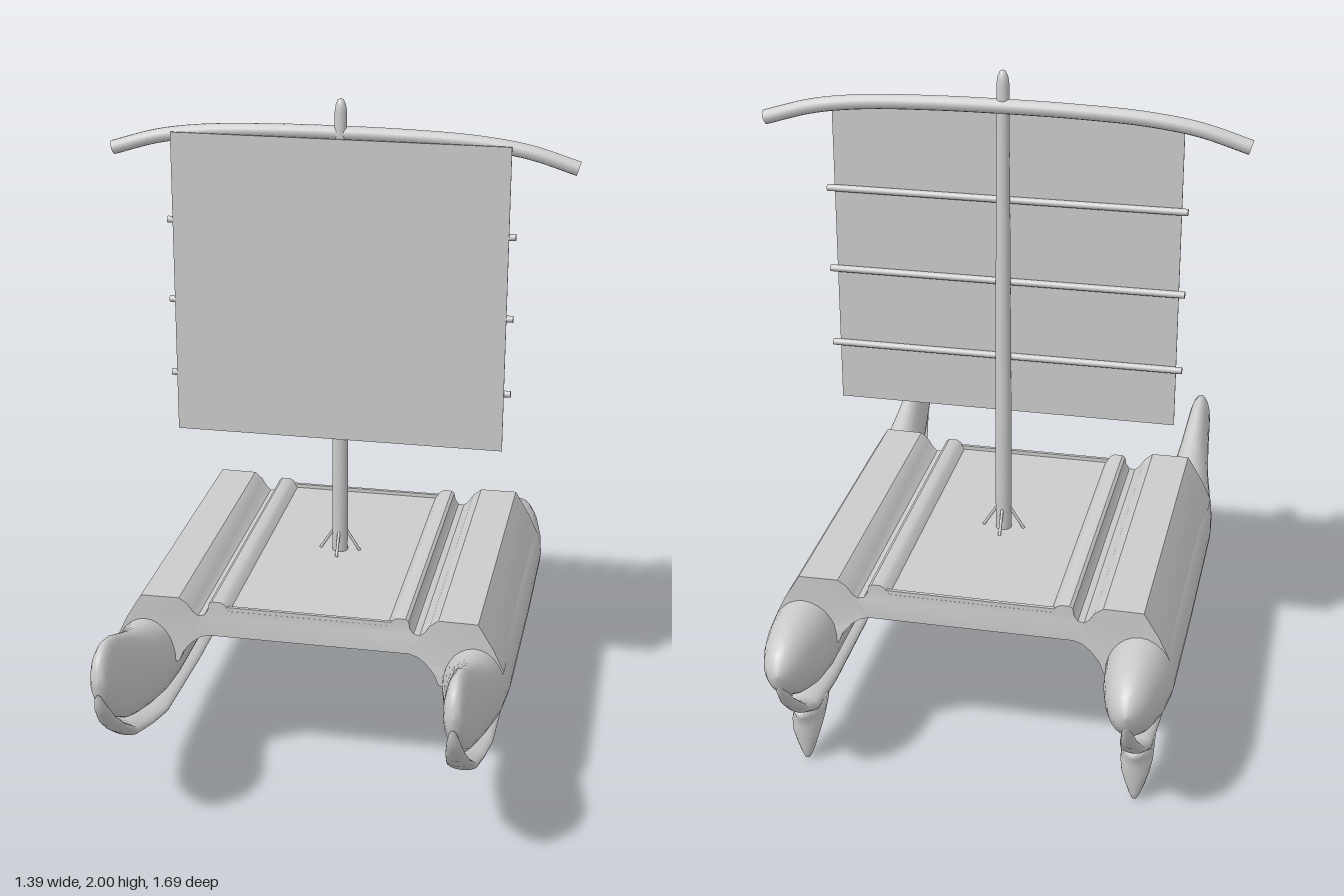
import * as THREE from 'three';
import { toCreasedNormals } from 'three/addons/utils/BufferGeometryUtils.js';

const material = new THREE.MeshStandardMaterial({ color: 0xcccccc });
const HULL_X = 0.492;
const MAST_Z = -0.115;

function add(parent, name, geometry, x = 0, y = 0, z = 0) {
  const mesh = new THREE.Mesh(geometry, material);
  mesh.name = name;
  mesh.position.set(x, y, z);
  parent.add(mesh);
  return mesh;
}

// Skin over elliptical rings; place(section, cos, sin) returns a point.
function loft(sections, place, sides = 28) {
  const positions = [], index = [];
  sections.forEach((s, i) => {
    for (let j = 0; j < sides; j++) {
      const t = (j / sides) * Math.PI * 2;
      positions.push(...place(s, Math.cos(t), Math.sin(t)));
      if (i === sections.length - 1) continue;
      const a = i * sides + j, b = i * sides + (j + 1) % sides;
      index.push(a, a + sides, b, b, a + sides, b + sides);
    }
  });
  const g = new THREE.BufferGeometry();
  g.setAttribute('position', new THREE.Float32BufferAttribute(positions, 3));
  g.setIndex(index);
  g.computeVertexNormals();
  return g;
}

// Sections along z: [z, bottom, top, half width]
const alongZ = ([z, lo, hi, w], c, s) => [w * c, (lo + hi) / 2 + s * (hi - lo) / 2, z];
// Sections down y: [y, back z, front z, half width]
const downY = ([y, back, front, w], c, s) => [w * c, y, (back + front) / 2 - s * (front - back) / 2];

// Round rod between two points
function rod(parent, name, from, to, r) {
  const a = new THREE.Vector3(...from), b = new THREE.Vector3(...to);
  const d = b.clone().sub(a);
  const m = add(parent, name, new THREE.CylinderGeometry(r, r, d.length(), 10));
  m.position.copy(a).addScaledVector(d, 0.5);
  m.quaternion.setFromUnitVectors(new THREE.Vector3(0, 1, 0), d.normalize());
}

function createHull(side) {
  const hull = new THREE.Group();
  hull.name = side > 0 ? 'leftHull' : 'rightHull';
  hull.position.x = side * HULL_X;
  // Float with upturned bow and rounded stern
  add(hull, 'float', loft([
    [0.842, 0.555, 0.555, 0], [0.838, 0.515, 0.59, 0.018], [0.825, 0.485, 0.622, 0.026],
    [0.8, 0.455, 0.643, 0.033], [0.76, 0.42, 0.65, 0.037], [0.7, 0.375, 0.636, 0.042],
    [0.62, 0.328, 0.602, 0.051], [0.55, 0.302, 0.573, 0.061], [0.47, 0.282, 0.546, 0.077],
    [0.39, 0.271, 0.532, 0.092], [0.3, 0.27, 0.53, 0.1], [-0.2, 0.27, 0.53, 0.102],
    [-0.58, 0.27, 0.53, 0.1], [-0.66, 0.278, 0.529, 0.091], [-0.73, 0.303, 0.523, 0.076],
    [-0.78, 0.332, 0.508, 0.06], [-0.815, 0.365, 0.484, 0.041], [-0.835, 0.4, 0.458, 0.021],
    [-0.842, 0.43, 0.43, 0]], alongZ));
  // Runner following the underside
  add(hull, 'runner', loft([
    [0.844, 0.525, 0.525, 0], [0.838, 0.48, 0.52, 0.012], [0.82, 0.445, 0.49, 0.02],
    [0.77, 0.385, 0.428, 0.028], [0.7, 0.327, 0.365, 0.035], [0.62, 0.27, 0.308, 0.044],
    [0.5, 0.235, 0.272, 0.053], [0.37, 0.203, 0.243, 0.059], [0, 0.185, 0.224, 0.059],
    [-0.46, 0.163, 0.222, 0.053], [-0.62, 0.17, 0.222, 0.046], [-0.68, 0.205, 0.242, 0.035],
    [-0.76, 0.278, 0.315, 0.024], [-0.815, 0.345, 0.385, 0.014], [-0.835, 0.41, 0.41, 0]], alongZ, 20));
  // Skeg under the stern
  add(hull, 'skeg', loft([
    [0.21, -0.55, -0.55, 0], [0.2, -0.675, -0.44, 0.05], [0.16, -0.65, -0.47, 0.047],
    [0.13, -0.646, -0.53, 0.047], [0.1, -0.642, -0.578, 0.041], [0.06, -0.636, -0.588, 0.029],
    [0.025, -0.629, -0.594, 0.017], [0.007, -0.622, -0.602, 0.008], [0, -0.612, -0.612, 0]], downY, 16));
  return hull;
}

function createDeck() {
  const deck = new THREE.Group();
  deck.name = 'deck';
  // Half profile from the floor outwards over the saddle and back underneath
  const half = [
    [0.235, 0.575], [0.25, 0.594], [0.262, 0.601], [0.288, 0.601], [0.297, 0.594], [0.301, 0.572],
    [0.312, 0.556], [0.33, 0.553], [0.345, 0.566], [0.36, 0.59], [0.385, 0.61], [0.5, 0.61],
    [0.545, 0.535], [0.578, 0.465], [0.55, 0.4], [0.39, 0.4], [0.375, 0.435], [0.35, 0.465],
    [0.325, 0.482], [0.3, 0.49]];
  const mirrored = half.map(([x, y]) => [-x, y]).reverse();
  const shape = new THREE.Shape([...half, ...mirrored].map(p => new THREE.Vector2(...p)));
  const g = new THREE.ExtrudeGeometry(shape, { depth: 0.98, bevelEnabled: false });
  g.translate(0, 0, -0.59);
  // The middle is slightly shorter than the saddles
  const p = g.attributes.position;
  for (let i = 0; i < p.count; i++) {
    const pull = 0.012 * THREE.MathUtils.clamp((0.4 - Math.abs(p.getX(i))) / 0.08, 0, 1);
    p.setZ(i, p.getZ(i) + (p.getZ(i) > 0 ? -pull : pull));
  }
  add(deck, 'platform', toCreasedNormals(g, 0.6));
  // Low lips closing the floor at front and back
  for (const z of [-0.572, 0.372]) add(deck, 'endLip', new THREE.BoxGeometry(0.5, 0.024, 0.011), 0, 0.575, z);
  return deck;
}

function createRig() {
  const rig = new THREE.Group();
  rig.name = 'rig';
  rig.position.z = MAST_Z;
  // Mast with rounded tip
  const mast = [[0, 0.56], [0.024, 0.56], [0.024, 0.95], [0.021, 1.5], [0.018, 1.9], [0.018, 1.96],
    [0.015, 1.98], [0.009, 1.995], [0, 2]].map(q => new THREE.Vector2(...q));
  add(rig, 'mast', new THREE.LatheGeometry(mast, 20));
  // Braces around the mast foot
  for (const [x, z] of [[1, 0], [-1, 0], [0, 1], [0, -1]])
    rod(rig, 'brace', [x * 0.062, 0.575, z * 0.062], [x * 0.015, 0.65, z * 0.015], 0.0045);
  // Bowed yard
  const bow = new THREE.CatmullRomCurve3([[-0.69, 1.824], [-0.55, 1.865], [-0.4, 1.886], [-0.2, 1.895], [0, 1.897],
    [0.2, 1.895], [0.4, 1.886], [0.55, 1.865], [0.69, 1.824]].map(([x, y]) => new THREE.Vector3(x, y, -0.005)));
  add(rig, 'yard', new THREE.TubeGeometry(bow, 48, 0.021, 14));
  for (const t of [0, 1]) {
    const cap = add(rig, 'yardEnd', new THREE.CircleGeometry(0.021, 14));
    cap.position.copy(bow.getPointAt(t));
    const out = bow.getTangentAt(t).multiplyScalar(t ? 1 : -1);
    cap.quaternion.setFromUnitVectors(new THREE.Vector3(0, 0, 1), out);
  }
  // Flat sail and its battens
  add(rig, 'sail', new THREE.BoxGeometry(1.005, 0.93, 0.005), -0.002, 1.42, 0.026);
  for (const y of [1.135, 1.37, 1.618]) rod(rig, 'batten', [-0.523, y, 0.016], [0.52, y, 0.016], 0.01);
  return rig;
}

export function createModel() {
  const model = new THREE.Group();
  model.name = 'sailingCatamaran';
  model.add(createHull(1), createHull(-1), createDeck(), createRig());
  return model;
}
